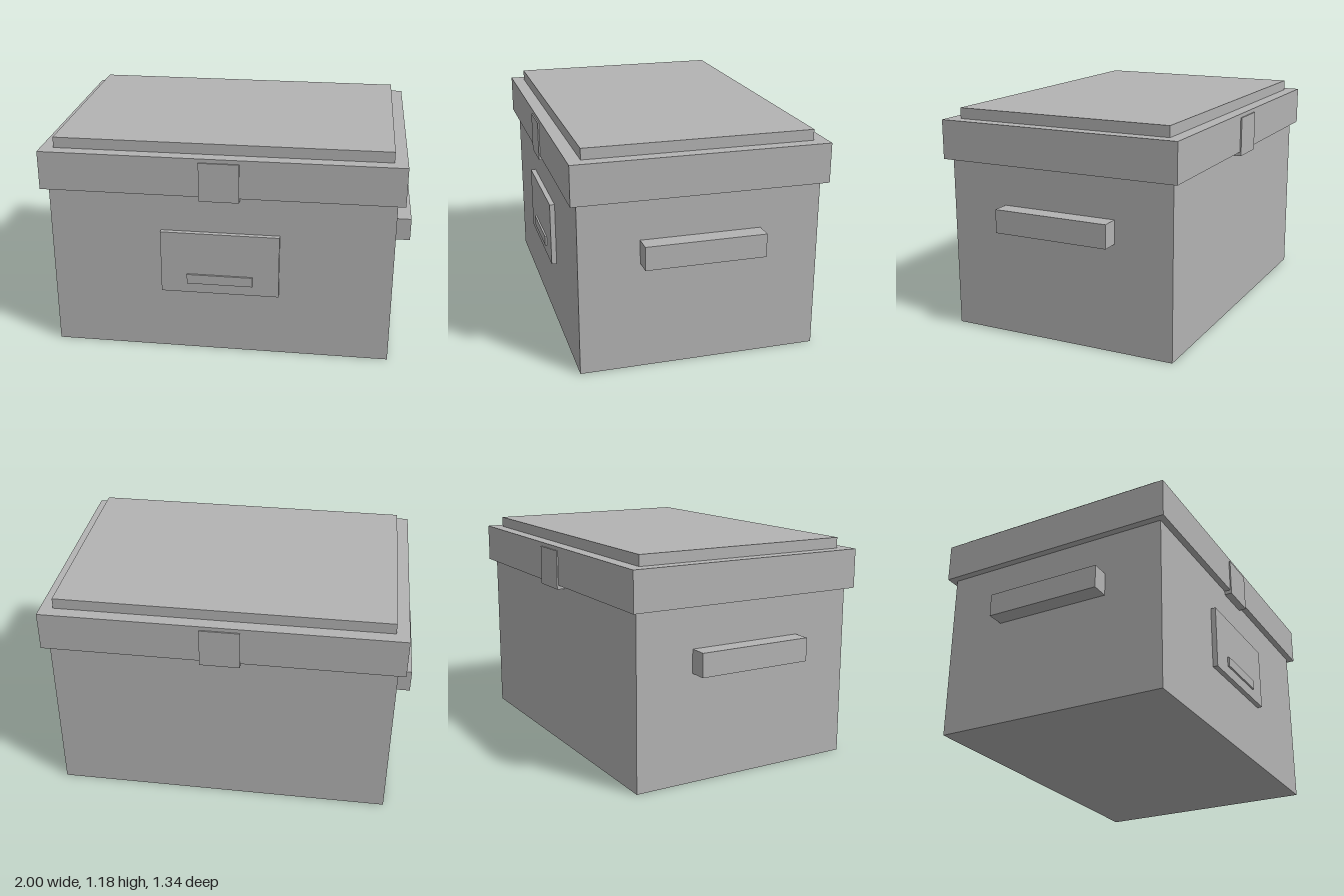
import * as THREE from 'three';

const grey = new THREE.MeshStandardMaterial({ color: 0xb3b3b3 });
grey.name = 'grey';

// Box given by its lower and upper limits on each axis
function block(name, [x0, x1], [y0, y1], [z0, z1]) {
  const mesh = new THREE.Mesh(new THREE.BoxGeometry(x1 - x0, y1 - y0, z1 - z0), grey);
  mesh.position.set((x0 + x1) / 2, (y0 + y1) / 2, (z0 + z1) / 2);
  mesh.name = name;
  return mesh;
}

export function createModel() {
  const box = new THREE.Group();
  box.name = 'storageBox';

  // Body and stepped lid
  box.add(
    block('body', [-0.906, 0.906], [0, 0.912], [-0.63, 0.63]),
    block('lid', [-0.944, 0.944], [0.912, 1.12], [-0.664, 0.664]),
    block('lidPanel', [-0.876, 0.876], [1.12, 1.177], [-0.595, 0.595]),
  );

  // Label plate with its lip, front only
  box.add(
    block('labelPlate', [-0.314, 0.314], [0.354, 0.7], [0.63, 0.657]),
    block('labelLip', [-0.175, 0.175], [0.41, 0.463], [0.657, 0.667]),
  );

  // Clasps on front and back
  box.add(
    block('frontClasp', [-0.105, 0.105], [0.89, 1.099], [0.63, 0.671]),
    block('backClasp', [-0.105, 0.105], [0.89, 1.099], [-0.671, -0.63]),
  );

  // Side handles
  box.add(
    block('leftHandle', [0.906, 1], [0.57, 0.694], [-0.315, 0.315]),
    block('rightHandle', [-1, -0.906], [0.57, 0.694], [-0.315, 0.315]),
  );
  return box;
}
